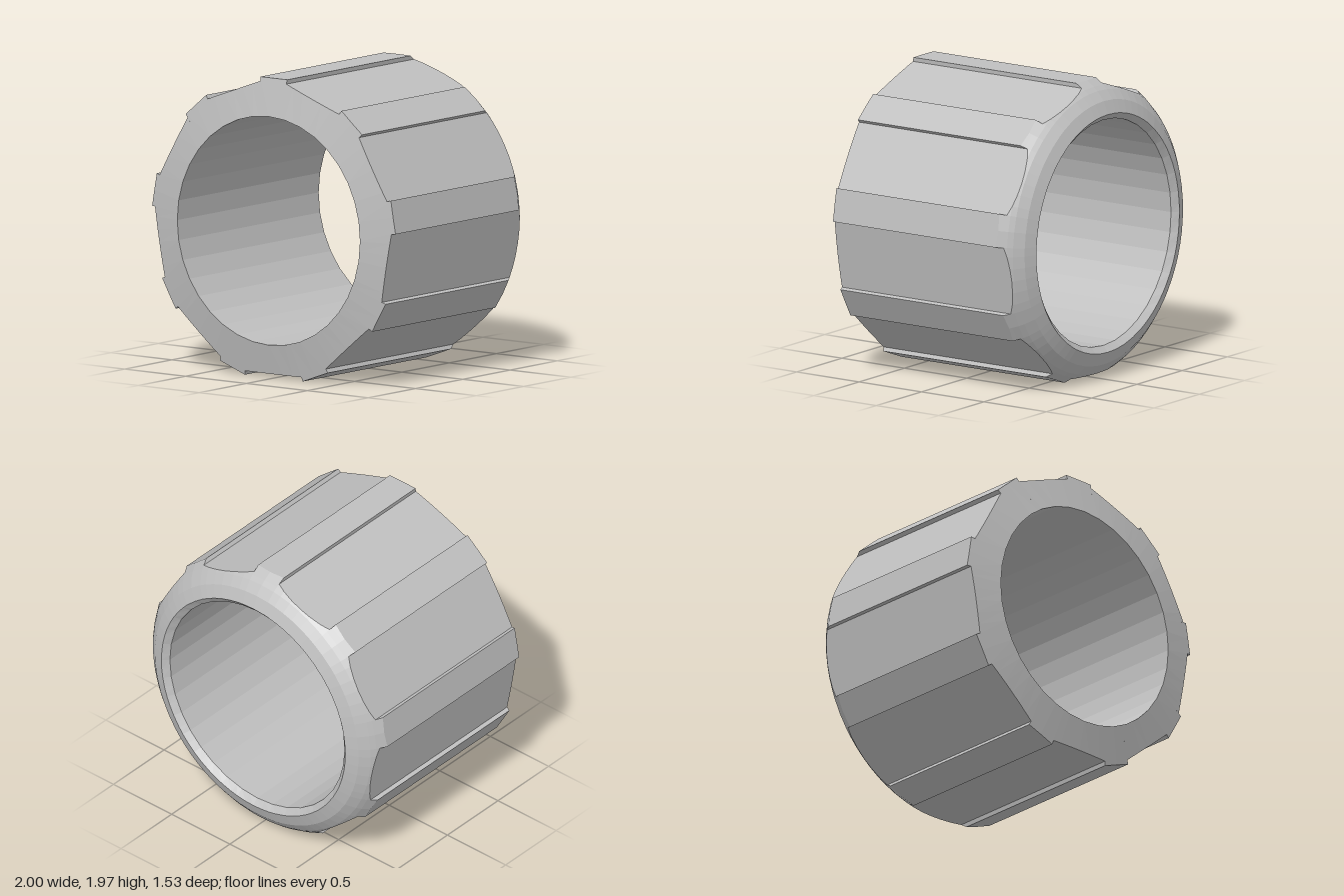
import * as THREE from 'three';

const RIBS = 9, CENTRE_Y = 0.973;
const BORE = 0.75, FLAT = 0.945, RIB = 0.995;
const DEG = Math.PI / 180, RIB_HALF = 6.3;

// rounded back edge, as [radius, z] from outside to inside
const backCurve = [[1.003, -0.59], [0.985, -0.617], [0.96, -0.655], [0.935, -0.685], [0.875, -0.735], [0.79, -0.768]];

function backZ(r) {
  for (let i = 1; i < backCurve.length; i++) {
    const [r0, z0] = backCurve[i - 1], [r1, z1] = backCurve[i];
    if (r >= r1) return z0 + (z1 - z0) * (r0 - r) / (r0 - r1);
  }
  return -0.768;
}

const frontZ = (r) => 0.765 - 0.055 * (r - BORE) / 0.25;

// the bore is a 36-sided polygon
function boreRadius(deg) {
  const m = ((deg % 10) + 10) % 10 - 5;
  return BORE * Math.cos(5 * DEG) / Math.cos(m * DEG);
}

// outer outline as [degrees from top, radius]: a raised rib, then a sunken flat
function outline() {
  const points = [];
  for (let i = 0; i < RIBS; i++) {
    const base = i * 360 / RIBS;
    for (const a of [-RIB_HALF, 0, RIB_HALF]) points.push([base + a, RIB / Math.cos(a * DEG)]);
    for (const a of [-13.7, -10, -5, 0, 5, 10, 13.7]) points.push([base + 20 + a, FLAT / Math.cos(a * DEG)]);
  }
  return points;
}

// closed profile through the wall at one outline point
function profile([deg, r]) {
  const inner = boreRadius(deg);
  const rz = [[inner, 0.765], [r, frontZ(r)], [r, backZ(r)]];
  for (const [limit] of backCurve.slice(1)) {
    const q = Math.min(r, limit);
    rz.push([q, backZ(q)]);
  }
  rz.push([inner, -0.73], [inner, 0.765]);
  const s = Math.sin(deg * DEG), c = Math.cos(deg * DEG);
  return rz.map(([q, z]) => new THREE.Vector3(q * s, CENTRE_Y + q * c, z));
}

// surface between two steps of the profile, all the way round
function band(columns, from, to) {
  const pos = [];
  const add = (a, b, c) => {
    if (new THREE.Triangle(a, b, c).getArea() < 1e-7) return;
    for (const v of [a, b, c]) pos.push(v.x, v.y, v.z);
  };
  columns.forEach((p, i) => {
    const n = columns[(i + 1) % columns.length];
    for (let k = from; k < to; k++) {
      add(p[k], n[k], p[k + 1]);
      add(n[k], n[k + 1], p[k + 1]);
    }
  });
  const g = new THREE.BufferGeometry();
  g.setAttribute('position', new THREE.Float32BufferAttribute(pos, 3));
  g.computeVertexNormals();
  return g;
}

export function createModel() {
  const grey = new THREE.MeshStandardMaterial({ color: 0xbfbfbf, flatShading: true });
  grey.name = 'grey';
  const group = new THREE.Group();
  group.name = 'ribbedSleeve';
  const columns = outline().map(profile);
  const parts = [
    ['frontRim', 0, 1],
    ['ribbedWall', 1, 2],
    ['roundedBackEdge', 2, 7],
    ['backLip', 7, 8],
    ['bore', 8, 9],
  ];
  for (const [name, from, to] of parts) {
    const mesh = new THREE.Mesh(band(columns, from, to), grey);
    mesh.name = name;
    group.add(mesh);
  }
  return group;
}
